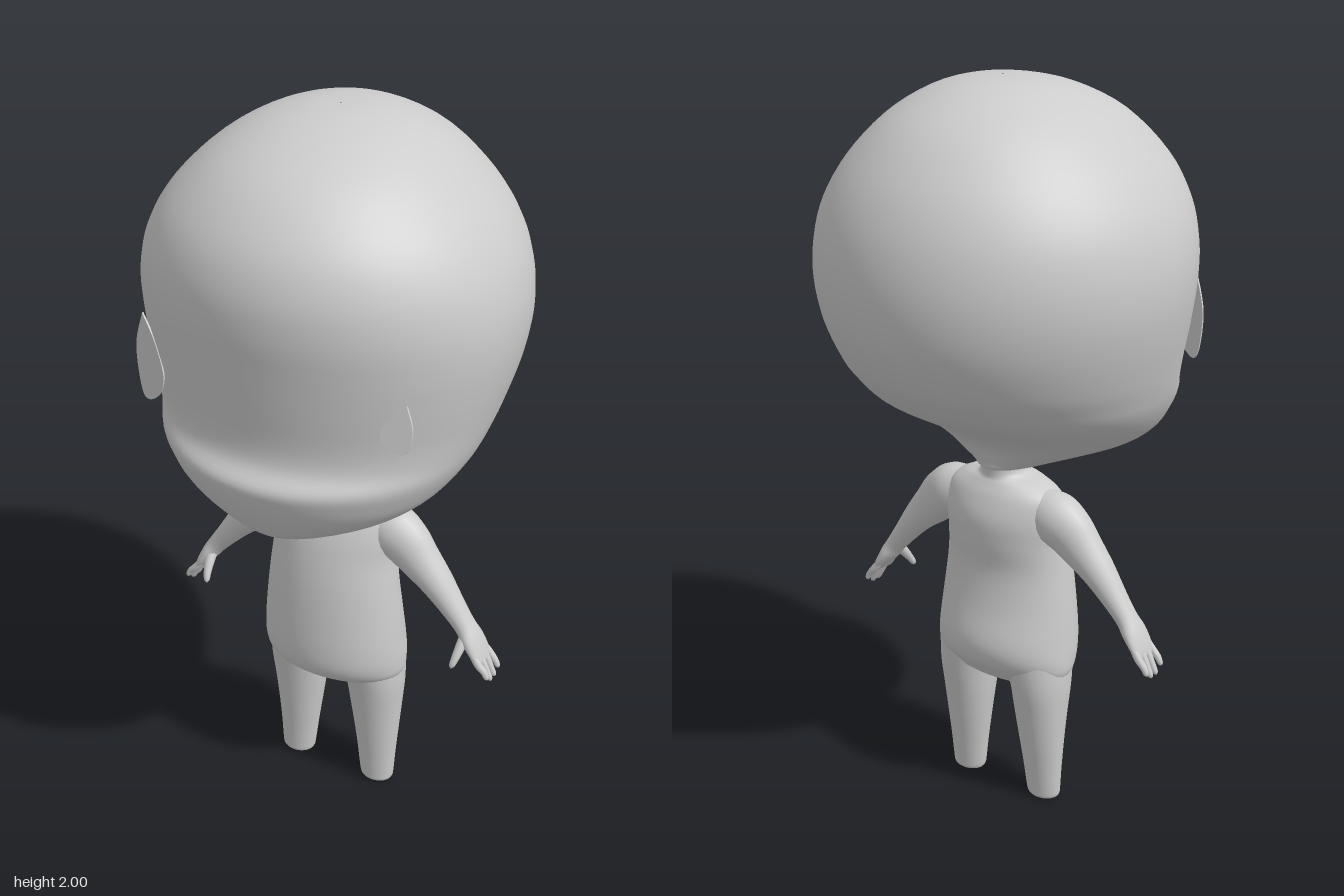
import * as THREE from 'three';

const skin = new THREE.MeshStandardMaterial({ color: 0xcccccc });
skin.name = 'plain grey';

// Smoothly resample a short table of cross-sections
function resample(rows, steps) {
  const out = [], n = rows.length;
  const at = (i) => rows[Math.max(0, Math.min(n - 1, i))];
  for (let i = 0; i < n - 1; i++) {
    for (let s = 0; s < steps; s++) {
      const t = s / steps;
      out.push(at(i).map((b, k) => {
        const a = at(i - 1)[k], c = at(i + 1)[k], d = at(i + 2)[k];
        return b + 0.5 * t * (c - a + t * (2 * a - 5 * b + 4 * c - d + t * (3 * (b - c) + d - a)));
      }));
    }
  }
  out.push(rows[n - 1]);
  return out;
}

// Skin closed rings of points into a smooth surface
function skinRings(name, rings) {
  const n = rings[0].length, index = [];
  for (let j = 0; j < rings.length - 1; j++) {
    for (let i = 0; i < n; i++) {
      const p = j * n + i, q = j * n + (i + 1) % n;
      index.push(p, q, p + n, q, q + n, p + n);
    }
  }
  const geo = new THREE.BufferGeometry().setFromPoints(rings.flat());
  geo.setIndex(index);
  geo.computeVertexNormals();
  const mesh = new THREE.Mesh(geo, skin);
  mesh.name = name;
  return mesh;
}

// Horizontal sections, top to bottom: [y, centreX, halfWidth, widestZ, frontZ, backZ]
function stack(name, rows, sides, steps) {
  return skinRings(name, resample(rows, steps).map(([y, cx, w, zc, f, b]) =>
    Array.from({ length: sides }, (_, i) => {
      const a = (i / sides) * Math.PI * 2, s = Math.sin(a);
      return new THREE.Vector3(cx + w * Math.cos(a), y, zc + (s > 0 ? f - zc : zc - b) * s);
    })));
}

// Limb sections along a path: [x, y, z, thickness radius, depth radius]
function limb(name, rows, sides = 20, steps = 5) {
  const r = resample(rows, steps);
  const pos = r.map((q) => new THREE.Vector3(q[0], q[1], q[2]));
  return skinRings(name, r.map((q, j) => {
    const t = pos[Math.min(j + 1, r.length - 1)].clone().sub(pos[Math.max(j - 1, 0)]).normalize();
    const u = new THREE.Vector3(0, 0, 1).cross(t).normalize();
    const v = t.clone().cross(u);
    return Array.from({ length: sides }, (_, i) => {
      const a = (i / sides) * Math.PI * 2;
      return pos[j].clone().addScaledVector(u, q[3] * Math.cos(a)).addScaledVector(v, q[4] * Math.sin(a));
    });
  }));
}

// Thin leaf-shaped eye plate, slanted to follow the face
function eye(name, points, x0, z0, slope) {
  const shape = new THREE.Shape();
  shape.moveTo(...points[0]);
  shape.splineThru(points.slice(1).concat([points[0]]).map((p) => new THREE.Vector2(...p)));
  const geo = new THREE.ExtrudeGeometry(shape, { depth: 0.006, bevelEnabled: false, curveSegments: 20 });
  const p = geo.attributes.position;
  for (let i = 0; i < p.count; i++) p.setZ(i, p.getZ(i) + z0 + slope * (p.getX(i) - x0));
  geo.computeVertexNormals();
  const mesh = new THREE.Mesh(geo, skin);
  mesh.name = name;
  return mesh;
}

export function createModel() {
  const model = new THREE.Group();
  model.name = 'figure';

  // Large head with recessed eye band and a projecting muzzle
  model.add(stack('head', [
    [2.0, 0, 0.002, 0, 0.002, -0.002],
    [1.995, 0, 0.09, 0, 0.09, -0.1],
    [1.965, 0, 0.19, 0.01, 0.21, -0.2],
    [1.9, 0, 0.295, 0.02, 0.34, -0.31],
    [1.8, 0, 0.395, 0.03, 0.435, -0.4],
    [1.7, 0, 0.457, 0.03, 0.475, -0.452],
    [1.6, 0, 0.486, 0.03, 0.48, -0.476],
    [1.5, 0, 0.49, 0.03, 0.467, -0.478],
    [1.4, 0, 0.475, 0.04, 0.453, -0.458],
    [1.3, 0, 0.45, 0.06, 0.44, -0.41],
    [1.24, 0, 0.432, 0.08, 0.447, -0.36],
    [1.195, 0, 0.415, 0.09, 0.48, -0.31],
    [1.15, 0, 0.39, 0.11, 0.472, -0.235],
    [1.1, 0, 0.35, 0.14, 0.45, -0.145],
    [1.05, 0, 0.28, 0.17, 0.42, -0.09],
    [1.0, 0, 0.17, 0.2, 0.38, -0.068],
    [0.975, 0, 0.09, 0.2, 0.33, -0.04],
    [0.963, 0, 0.002, 0.2, 0.202, 0.198],
  ], 64, 4));

  model.add(eye('rightEye', [[-0.37, 1.5], [-0.407, 1.39], [-0.385, 1.265], [-0.32, 1.29], [-0.29, 1.36], [-0.32, 1.44]],
    -0.35, 0.335, 0.45));
  model.add(eye('leftEye', [[0.362, 1.44], [0.375, 1.37], [0.36, 1.31], [0.318, 1.33], [0.308, 1.36], [0.325, 1.41]],
    0.345, 0.325, -0.5));

  // Neck, chest, round belly and seat
  model.add(stack('torso', [
    [1.06, 0, 0.075, 0.01, 0.1, -0.085],
    [1.0, 0, 0.06, 0.01, 0.085, -0.063],
    [0.96, 0, 0.065, 0.01, 0.08, -0.058],
    [0.943, 0, 0.12, 0.015, 0.09, -0.065],
    [0.91, 0, 0.17, 0.015, 0.113, -0.085],
    [0.85, 0, 0.18, 0.02, 0.138, -0.105],
    [0.78, 0, 0.178, 0.025, 0.156, -0.104],
    [0.7, 0, 0.186, 0.03, 0.17, -0.095],
    [0.6, 0, 0.197, 0.03, 0.18, -0.11],
    [0.5, 0, 0.205, 0.03, 0.185, -0.135],
    [0.44, 0, 0.208, 0.02, 0.177, -0.125],
    [0.4, 0, 0.203, 0.015, 0.145, -0.092],
    [0.37, 0, 0.17, 0.01, 0.09, -0.065],
    [0.352, 0, 0.06, 0.01, 0.04, -0.02],
    [0.35, 0, 0.002, 0.01, 0.012, 0.008],
  ], 48, 4));

  for (const [side, s] of [['left', 1], ['right', -1]]) {
    // Tapered leg, open at the sole
    model.add(stack(side + 'Leg', [
      [0.44, s * 0.11, 0.09, 0.015, 0.12, -0.09],
      [0.36, s * 0.121, 0.082, 0.015, 0.1, -0.078],
      [0.28, s * 0.123, 0.075, 0.012, 0.085, -0.062],
      [0.2, s * 0.125, 0.067, 0.012, 0.073, -0.048],
      [0.1, s * 0.128, 0.057, 0.014, 0.062, -0.032],
      [0.03, s * 0.13, 0.051, 0.016, 0.057, -0.023],
      [0.008, s * 0.131, 0.047, 0.017, 0.055, -0.02],
      [0.0, s * 0.131, 0.037, 0.017, 0.047, -0.012],
    ], 28, 4));

    // Arm flowing into a flattened palm
    const arm = new THREE.Group();
    arm.name = side + 'Arm';
    const at = (rows) => rows.map(([x, ...rest]) => [s * x, ...rest]);
    arm.add(limb('sleevelessArm', at([
      [0.1, 0.885, 0.01, 0.05, 0.05],
      [0.16, 0.862, 0.01, 0.073, 0.065],
      [0.205, 0.835, 0.012, 0.07, 0.06],
      [0.25, 0.792, 0.014, 0.058, 0.053],
      [0.3, 0.742, 0.015, 0.045, 0.047],
      [0.35, 0.682, 0.016, 0.034, 0.038],
      [0.39, 0.632, 0.017, 0.027, 0.034],
      [0.413, 0.6, 0.018, 0.024, 0.042],
      [0.435, 0.567, 0.018, 0.017, 0.044],
      [0.45, 0.543, 0.018, 0.009, 0.036],
      [0.453, 0.538, 0.018, 0.001, 0.002],
    ])));

    // Four short fingers
    [[0.052, 0.505], [0.029, 0.488], [0.006, 0.488], [-0.016, 0.502]].forEach(([z, tip], i) => {
      arm.add(limb('finger' + (i + 1), at([
        [0.43, 0.572, z * 0.9 + 0.002, 0.01, 0.009],
        [0.45, 0.545, z, 0.011, 0.01],
        [0.468, tip + 0.023, z, 0.009, 0.009],
        [0.477, tip + 0.006, z, 0.007, 0.007],
        [0.479, tip, z, 0.001, 0.001],
      ]), 10, 3));
    });

    // Thumb angled forward
    arm.add(limb('thumb', at([
      [0.4, 0.615, 0.03, 0.015, 0.016],
      [0.398, 0.588, 0.055, 0.014, 0.014],
      [0.394, 0.562, 0.075, 0.011, 0.011],
      [0.39, 0.543, 0.086, 0.008, 0.008],
      [0.389, 0.535, 0.09, 0.001, 0.001],
    ]), 10, 3));
    model.add(arm);
  }
  return model;
}
